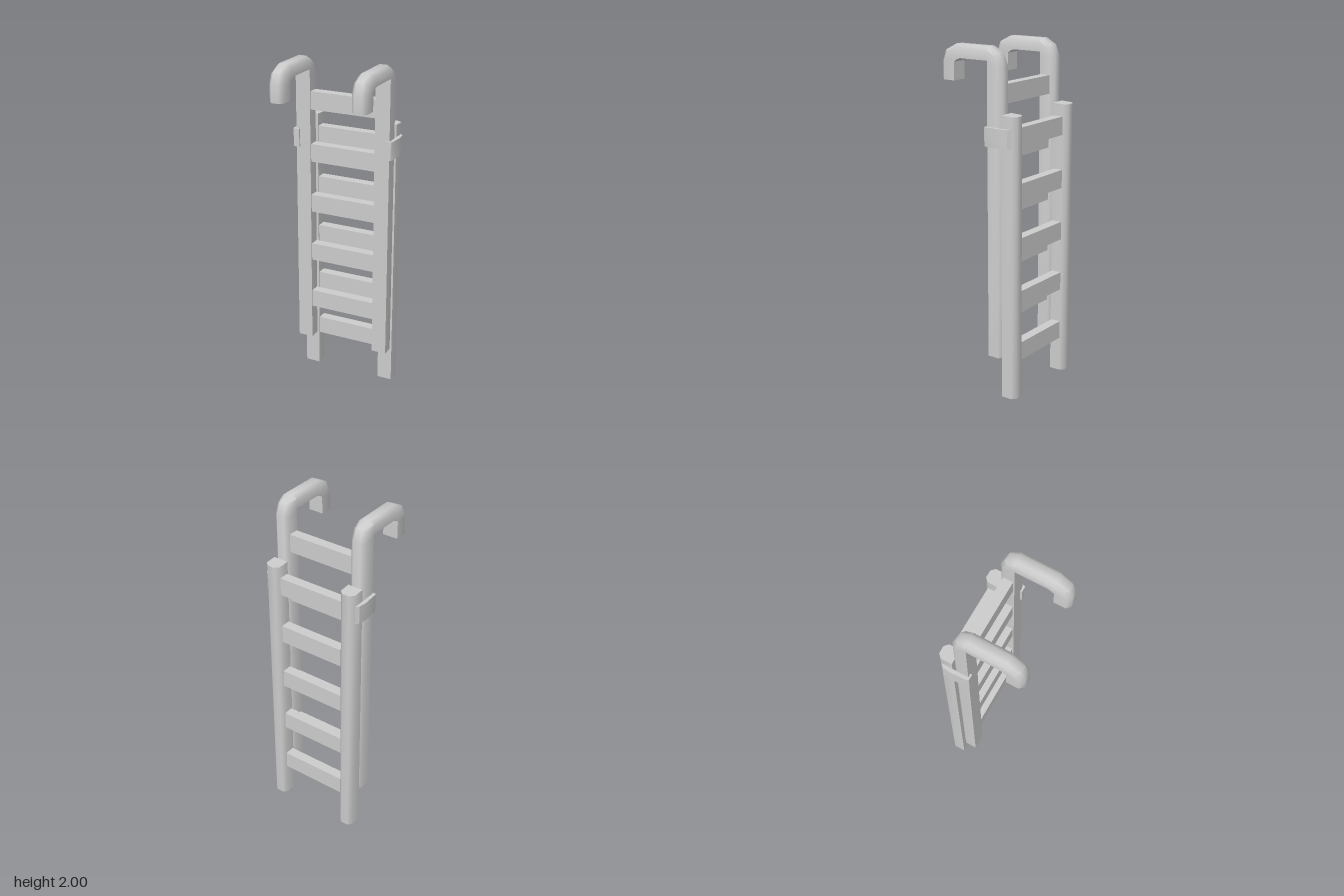
import * as THREE from 'three';
import { toCreasedNormals } from 'three/addons/utils/BufferGeometryUtils.js';

const material = new THREE.MeshStandardMaterial({ color: 0xcccccc, side: THREE.DoubleSide });

// Sweeps a six-sided bar (flat inner face, chamfered outer face) along
// stations of [innerZ, innerY, outerZ, outerY].
function barGeometry(stations, capEnd) {
  const h = 0.045, c = 0.0225;
  const positions = [], index = [];
  for (const [iz, iy, oz, oy] of stations) {
    const ring = [[-h, 0], [h, 0], [h, 0.75], [h - c, 1], [c - h, 1], [-h, 0.75]];
    for (const [x, t] of ring) positions.push(x, iy + (oy - iy) * t, iz + (oz - iz) * t);
  }
  const last = (stations.length - 1) * 6;
  for (let i = 0; i < last; i += 6) {
    for (let j = 0; j < 6; j++) {
      const k = (j + 1) % 6;
      index.push(i + j, i + k, i + 6 + k, i + j, i + 6 + k, i + 6 + j);
    }
  }
  for (let j = 1; j < 5; j++) {
    index.push(0, j + 1, j);
    if (capEnd) index.push(last, last + j, last + j + 1);
  }
  const geometry = new THREE.BufferGeometry();
  geometry.setAttribute('position', new THREE.Float32BufferAttribute(positions, 3));
  geometry.setIndex(index);
  return toCreasedNormals(geometry, 0.9);
}

// Side clip: a strap outline in plan (x, z), wrapped round the front of the rail.
function clipGeometry() {
  const outline = [
    [0.27, -0.068], [0.27, -0.057], [0.306, -0.057], [0.311, -0.066], [0.317, -0.165],
    [0.31, -0.213], [0.293, -0.23], [0.293, -0.068],
  ];
  const shape = new THREE.Shape(outline.map(([x, z]) => new THREE.Vector2(x, -z)));
  const geometry = new THREE.ExtrudeGeometry(shape, { depth: 0.107, bevelEnabled: false });
  geometry.rotateX(-Math.PI / 2);
  geometry.translate(0, 1.463, 0);
  return toCreasedNormals(geometry, 0.5);
}

function addMesh(parent, name, geometry) {
  const mesh = new THREE.Mesh(geometry, material);
  mesh.name = name;
  parent.add(mesh);
  return mesh;
}

// A ladder section: two mirrored rails and five evenly spaced rungs.
function ladder(name, rail, topRung, rungZ) {
  const group = new THREE.Group();
  group.name = name;
  for (const [side, s] of [['left', 1], ['right', -1]]) {
    addMesh(group, side + 'Rail', rail).position.x = s * 0.248;
  }
  const rung = new THREE.BoxGeometry(0.42, 0.107, 0.059);
  for (let i = 0; i < 5; i++) {
    addMesh(group, 'rung' + (i + 1), rung).position.set(0, topRung - 0.0535 - i * 0.3127, rungZ);
  }
  return group;
}

export function createModel() {
  const model = new THREE.Group();
  model.name = 'hookLadder';

  // Front section: rails bend forward into open-ended hooks
  const hookRail = barGeometry([
    [-0.068, 0.23, -0.158, 0.23],
    [-0.068, 1.9, -0.158, 1.9],
    [-0.068, 1.915, -0.132, 1.965],
    [-0.068, 1.925, -0.069, 2.0],
    [0.115, 1.925, 0.155, 2.0],
    [0.14, 1.916, 0.228, 1.963],
    [0.158, 1.903, 0.252, 1.9],
    [0.158, 1.8, 0.252, 1.8],
  ], false);
  model.add(ladder('frontLadder', hookRail, 1.797, -0.1055));

  // Rear section: straight rails reaching the ground
  const straightRail = barGeometry([
    [-0.163, 0, -0.252, 0],
    [-0.163, 1.642, -0.252, 1.638],
  ], true);
  model.add(ladder('rearLadder', straightRail, 1.569, -0.1995));

  // Clips joining the two sections
  const clip = clipGeometry();
  addMesh(model, 'leftClip', clip);
  addMesh(model, 'rightClip', clip).scale.x = -1;

  return model;
}
